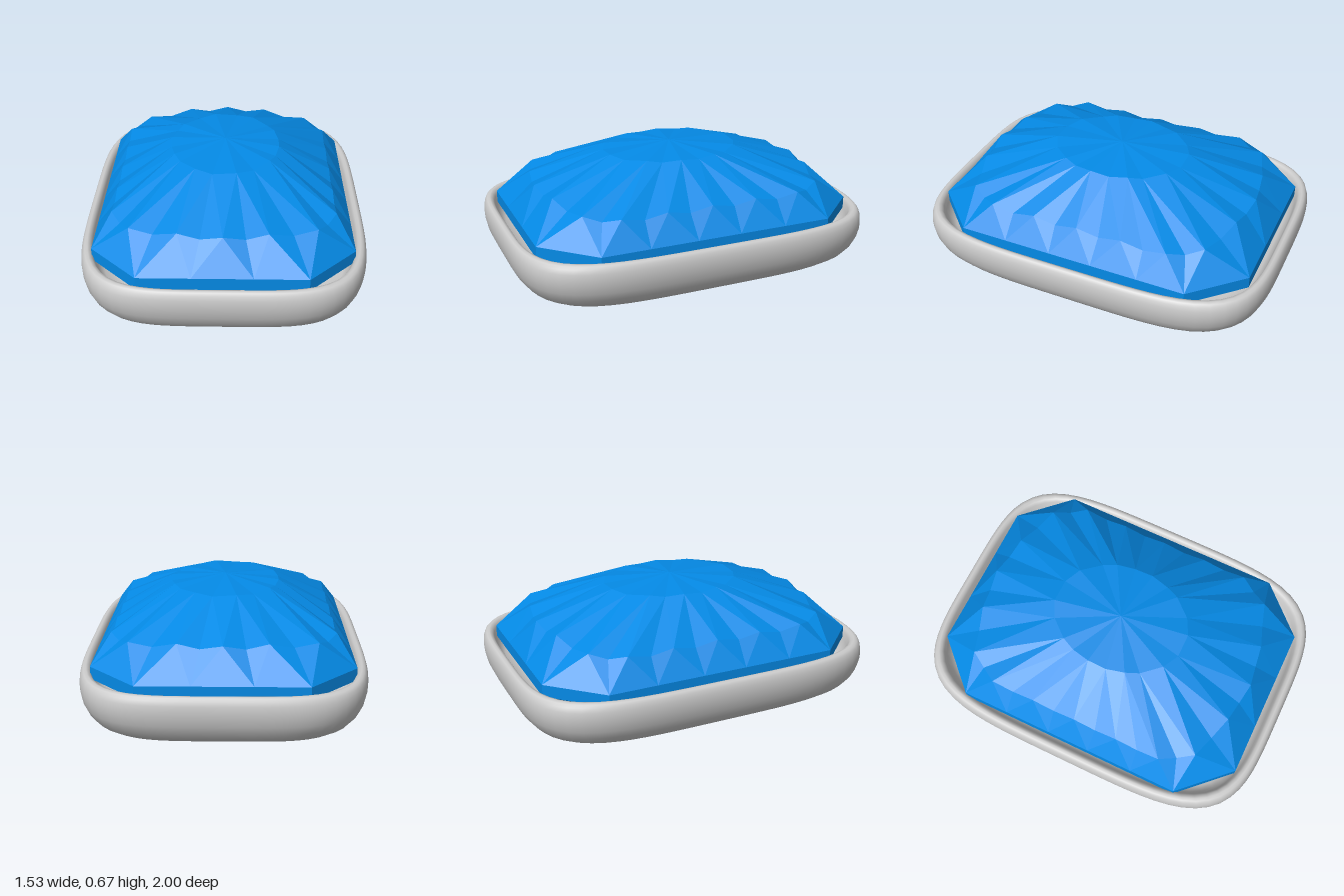
import * as THREE from 'three';

// Rounded-rectangle loop whose half sizes are sx and sz
function squircle(sx, sz, y, count) {
  const power = 4.3;
  return Array.from({ length: count }, (_, j) => {
    const t = (j / count) * Math.PI * 2, c = Math.cos(t), s = Math.sin(t);
    const r = (Math.abs(c) ** power + Math.abs(s) ** power) ** (-1 / power);
    return [sx * r * c, y, sz * r * s];
  });
}

function createTray() {
  // [inset from the widest outline, height]: underside, outer wall, rim, inner wall, floor
  const profile = [
    [0.6, 0.002], [0.4, 0.005], [0.29, 0.011], [0.21, 0.021], [0.15, 0.036], [0.1, 0.056],
    [0.06, 0.085], [0.03, 0.125], [0.011, 0.17], [0.002, 0.215], [0, 0.25], [0.003, 0.28],
    [0.01, 0.304], [0.02, 0.317], [0.034, 0.322], [0.048, 0.317], [0.058, 0.3], [0.066, 0.27],
    [0.08, 0.225], [0.11, 0.19], [0.17, 0.17], [0.3, 0.165],
  ];
  const n = 96;
  const rings = [
    squircle(0, 0, 0, n),
    ...profile.map(([d, y]) => squircle(0.765 - d, 1 - d, y, n)),
    squircle(0, 0, 0.165, n),
  ];
  const index = [];
  for (let i = 0; i < rings.length - 1; i++) {
    for (let j = 0; j < n; j++) {
      const k = (j + 1) % n;
      const a = i * n + j, b = i * n + k, c = a + n, d = b + n;
      if (i > 0) index.push(a, c, b);
      if (i < rings.length - 2) index.push(b, c, d);
    }
  }
  const geometry = new THREE.BufferGeometry();
  geometry.setAttribute('position', new THREE.Float32BufferAttribute(rings.flat(2), 3));
  geometry.setIndex(index);
  geometry.computeVertexNormals();
  const mesh = new THREE.Mesh(geometry, new THREE.MeshStandardMaterial({ color: 0xcccccc }));
  mesh.name = 'tray';
  return mesh;
}

function createGem() {
  // Half outlines, completed by a half turn about y
  const fullTurn = (half) => [...half, ...half.map(([x, y, z]) => [-x, y, -z])];
  const girdle = fullTurn([
    ...[-0.64, -0.38, -0.12, 0.12, 0.38, 0.64].map((z) => [0.68, 0.345, z]),
    ...[0.43, 0.155, -0.155, -0.43].map((x) => [x, 0.345, 0.9]),
  ]);
  // Peaks of the lower triangular facets, one between each pair of girdle points
  const peaks = fullTurn([
    ...[-0.5, -0.25, 0, 0.25, 0.5].map((z) => [0.585, 0.485, z]),
    [0.48, 0.49, 0.67], [0.23, 0.51, 0.75], [0, 0.51, 0.785], [-0.23, 0.51, 0.75],
    [-0.48, 0.49, 0.67],
  ]);
  // Shallow hollow in the middle of each kite, between two peaks
  const hollows = peaks.map((p, i) => {
    const q = peaks.at(i - 1);
    return [(p[0] + q[0]) / 2, (p[1] + q[1]) / 2 - 0.022, (p[2] + q[2]) / 2];
  });
  // Oval ring around the apex, in line with the girdle points
  const crown = girdle.map(([x, , z], i) => {
    const r = 1 / Math.hypot(x / 0.3, z / 0.38);
    return [x * r, i % 2 ? 0.648 : 0.64, z * r];
  });
  const foot = girdle.map(([x, , z]) => [x, 0.28, z]);
  const base = girdle.map(([x, , z]) => [x * 0.85, 0.19, z * 0.85]);
  const apex = [0, 0.672, 0], culet = [0, 0.18, 0];

  const points = [];
  const tri = (...corners) => points.push(...corners.flat());
  for (let i = 0; i < girdle.length; i++) {
    const k = (i + 1) % girdle.length;
    // Hidden underside and upright girdle band
    tri(culet, base[i], base[k]);
    for (const [low, high] of [[base, foot], [foot, girdle]]) {
      tri(low[i], high[i], low[k]);
      tri(low[k], high[i], high[k]);
    }
    // Lower triangular facet
    tri(girdle[i], peaks[i], girdle[k]);
    // Kite from the girdle to the crown, folded along its hollow
    tri(girdle[k], peaks[i], hollows[k]);
    tri(girdle[k], hollows[k], peaks[k]);
    tri(peaks[i], crown[k], hollows[k]);
    tri(hollows[k], crown[k], peaks[k]);
    // Long facet between kites, and the star around the apex
    tri(peaks[i], crown[i], crown[k]);
    tri(crown[i], apex, crown[k]);
  }
  const geometry = new THREE.BufferGeometry();
  geometry.setAttribute('position', new THREE.Float32BufferAttribute(points, 3));
  geometry.computeVertexNormals();
  const mesh = new THREE.Mesh(
    geometry,
    new THREE.MeshStandardMaterial({ color: 0x048ae6, flatShading: true }),
  );
  mesh.name = 'facetedGem';
  return mesh;
}

export function createModel() {
  const group = new THREE.Group();
  group.name = 'gemInTray';
  group.add(createTray(), createGem());
  return group;
}
